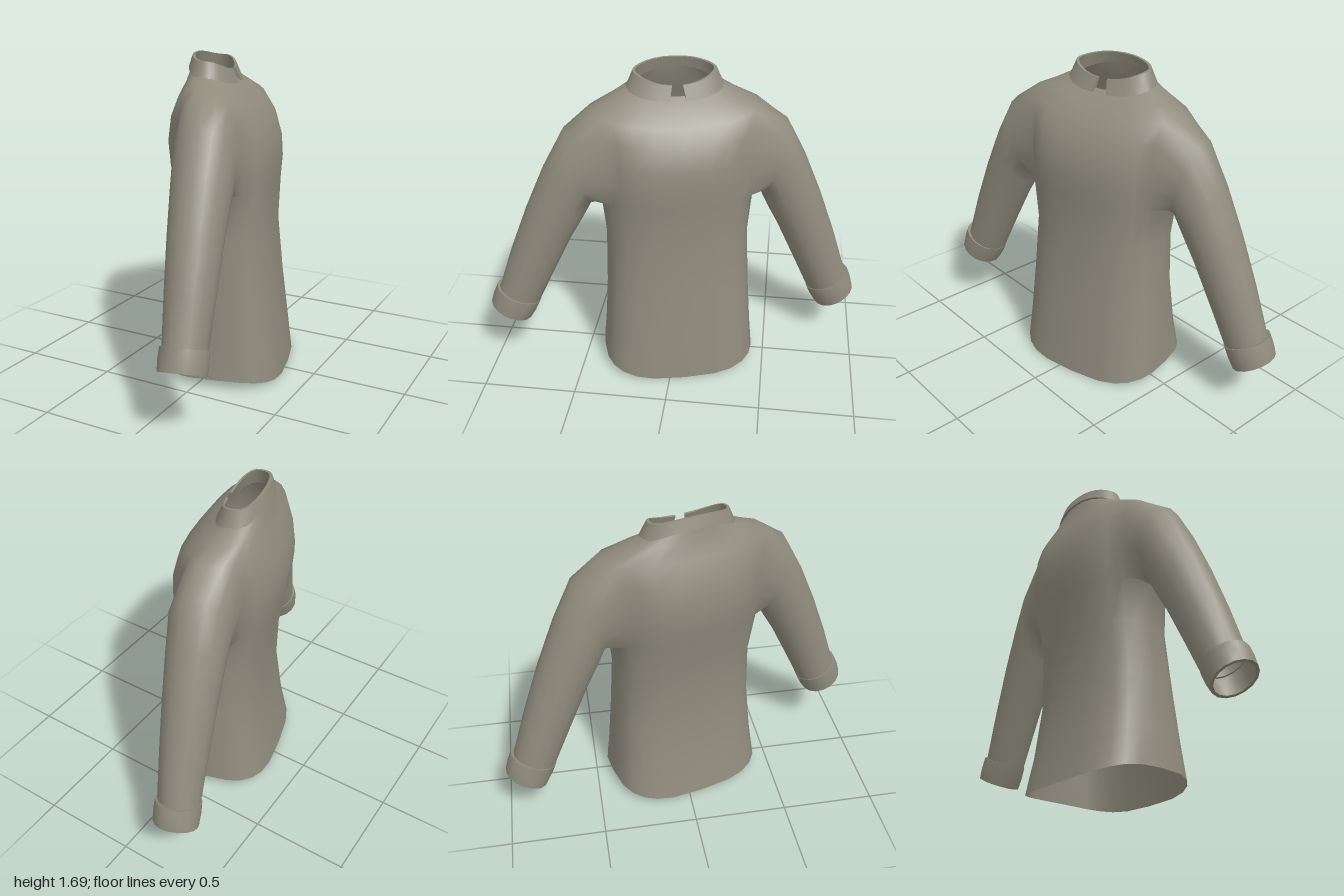
import * as THREE from 'three';
import { toCreasedNormals } from 'three/addons/utils/BufferGeometryUtils.js';

const N = 24; // points around the body
const ARM_LOW = 4, ARM_HIGH = 8, ARM_HALF = 2; // armhole rows and half its columns
const SLEEVE_N = 16;

// Body rings: [half width, front z, back z, side y, front y, back y, roundness]
const BODY = [
  [0.42, 0.32, -0.30, 0.05, 0.0, 0.01, 0.65],
  [0.405, 0.297, -0.262, 0.23, 0.22, 0.22, 0.7],
  [0.388, 0.265, -0.228, 0.5, 0.5, 0.5, 0.75],
  [0.378, 0.238, -0.24, 0.8, 0.8, 0.8, 0.8],
  [0.40, 0.248, -0.28, 1.03, 1.03, 1.03, 0.8],
  [0.405, 0.257, -0.297, 1.15, 1.14, 1.14, 0.8],
  [0.41, 0.25, -0.307, 1.27, 1.25, 1.26, 0.8],
  [0.42, 0.215, -0.285, 1.39, 1.36, 1.39, 0.8],
  [0.44, 0.155, -0.24, 1.49, 1.44, 1.49, 0.85],
  [0.34, 0.09, -0.21, 1.535, 1.505, 1.57, 0.9],
  [0.235, 0.02, -0.195, 1.59, 1.555, 1.64, 1],
];

// Sleeve sections: [outer x, outer y, underside x, underside y, half depth]
const SLEEVE = [
  [0.575, 1.395, 0.45, 0.985, 0.155],
  [0.685, 1.20, 0.495, 0.90, 0.145],
  [0.79, 0.97, 0.56, 0.79, 0.135],
  [0.89, 0.72, 0.66, 0.59, 0.122],
  [0.98, 0.465, 0.765, 0.375, 0.108],
];
const CUFF_TOP = [0.985, 0.485, 0.765, 0.385, 0.11];
const CUFF_END = [1.025, 0.38, 0.825, 0.278, 0.11];

const power = (v, e) => Math.sign(v) * Math.pow(Math.abs(v), e);

function ringPoint([w, front, back, ySide, yFront, yBack, e], a) {
  const c = Math.cos(a), s = Math.sin(a);
  const mid = (front + back) / 2, half = (front - back) / 2;
  const y = ySide + ((s > 0 ? yFront : yBack) - ySide) * s * s;
  return [w * power(c, e), y, mid + half * power(s, e)];
}

// One arm's section; the +x arm hangs a little lower towards the cuff
function armSection([ox, oy, ix, iy, depth], side, scale = 1) {
  const cx = (ox + ix) / 2, cy = (oy + iy) / 2;
  const t = Math.max(0, (cx - 0.5) / 0.4);
  const drop = (side > 0 ? 0.068 : 0) * t;
  return Array.from({ length: SLEEVE_N }, (_, i) => {
    const f = (i / SLEEVE_N) * Math.PI * 2;
    const c = Math.cos(f) * scale, s = Math.sin(f) * scale;
    return [side * (cx + (ox - cx) * c), cy + (oy - cy) * c - drop, -0.02 + depth * s];
  });
}

function quad(index, a, b, c, d, flip = false) {
  if (flip) index.push(a, c, b, a, d, c);
  else index.push(a, b, c, a, c, d);
}

function makeGeometry(points, index) {
  const g = new THREE.BufferGeometry();
  g.setAttribute('position', new THREE.Float32BufferAttribute(points.flat(), 3));
  g.setIndex(index);
  g.computeVertexNormals();
  return g;
}

// Body with two armholes, and sleeves grown from the armhole edges
function shirtGeometry() {
  const points = [], index = [];
  for (const ring of BODY) {
    for (let i = 0; i < N; i++) points.push(ringPoint(ring, (i / N) * Math.PI * 2));
  }
  const at = (row, col) => row * N + ((col + N) % N);
  for (let r = 0; r < BODY.length - 1; r++) {
    for (let i = 0; i < N; i++) {
      const fromSide = (i + ARM_HALF) % (N / 2);
      if (r >= ARM_LOW && r < ARM_HIGH && fromSide < 2 * ARM_HALF) continue;
      quad(index, at(r, i + 1), at(r, i), at(r + 1, i), at(r + 1, i + 1));
    }
  }
  for (const side of [1, -1]) {
    const edge = (row, col) => (side > 0 ? at(row, col) : at(row, N / 2 - col));
    let previous = [];
    for (let c = 0; c < 2; c++) previous.push(edge(ARM_HIGH, c));
    for (let r = ARM_HIGH; r > ARM_LOW; r--) previous.push(edge(r, 2));
    for (let c = 2; c > -2; c--) previous.push(edge(ARM_LOW, c));
    for (let r = ARM_LOW; r < ARM_HIGH; r++) previous.push(edge(r, -2));
    for (let c = -2; c < 0; c++) previous.push(edge(ARM_HIGH, c));
    for (const section of SLEEVE) {
      const start = points.length;
      points.push(...armSection(section, side));
      const next = previous.map((_, i) => start + i);
      for (let i = 0; i < SLEEVE_N; i++) {
        const k = (i + 1) % SLEEVE_N;
        quad(index, previous[k], next[k], next[i], previous[i], side < 0);
      }
      previous = next;
    }
  }
  return makeGeometry(points, index);
}

// Folded cuff: [position along the cuff, scale]
function cuffGeometry(side) {
  const points = [], index = [];
  const profile = [[0, 0.93], [0, 1.06], [0.5, 1.09], [1, 1.06], [1, 0.92], [0.1, 0.9]];
  profile.forEach(([t, scale], j) => {
    const section = CUFF_TOP.map((v, i) => v + (CUFF_END[i] - v) * t);
    points.push(...armSection(section, side, scale));
    if (j === 0) return;
    const b = j * SLEEVE_N, a = b - SLEEVE_N;
    for (let i = 0; i < SLEEVE_N; i++) {
      const k = (i + 1) % SLEEVE_N;
      quad(index, a + k, b + k, b + i, a + i, side < 0);
    }
  });
  return toCreasedNormals(makeGeometry(points, index), 0.7);
}

// Standing collar band, split at the front
function collarGeometry() {
  const points = [], index = [], steps = 28;
  const section = [
    [0.25, 0.045, -0.208, 1.575, 1.535, 1.635, 0.9],
    [0.212, 0.012, -0.19, 1.66, 1.61, 1.69, 0.9],
    [0.198, 0.0, -0.176, 1.66, 1.608, 1.69, 0.9],
    [0.226, 0.022, -0.188, 1.575, 1.535, 1.635, 0.9],
  ];
  const gaps = [0.14, 0.1, 0.1, 0.14];
  for (let i = 0; i <= steps; i++) {
    section.forEach((ring, j) => {
      const gap = gaps[j];
      points.push(ringPoint(ring, Math.PI / 2 + gap + (i / steps) * (Math.PI * 2 - 2 * gap)));
    });
  }
  for (let i = 0; i < steps; i++) {
    for (let j = 0; j < 4; j++) {
      const k = (j + 1) % 4, a = i * 4, b = a + 4;
      quad(index, b + j, a + j, a + k, b + k);
    }
  }
  const end = steps * 4;
  quad(index, 0, 3, 2, 1);
  quad(index, end, end + 1, end + 2, end + 3);
  return toCreasedNormals(makeGeometry(points, index), 0.7);
}

export function createModel() {
  const cloth = new THREE.MeshStandardMaterial({ color: 0x8f8b7d, side: THREE.DoubleSide });
  const shirt = new THREE.Group();
  shirt.name = 'shirt';
  const add = (name, geometry) => {
    const mesh = new THREE.Mesh(geometry, cloth);
    mesh.name = name;
    shirt.add(mesh);
  };
  add('bodyAndSleeves', shirtGeometry());
  add('collar', collarGeometry());
  add('cuffA', cuffGeometry(1));
  add('cuffB', cuffGeometry(-1));
  // The shirt stands turned, its chest mostly towards +x
  shirt.rotation.y = 1.83;

  const model = new THREE.Group();
  model.name = 'model';
  model.add(shirt);
  return model;
}
